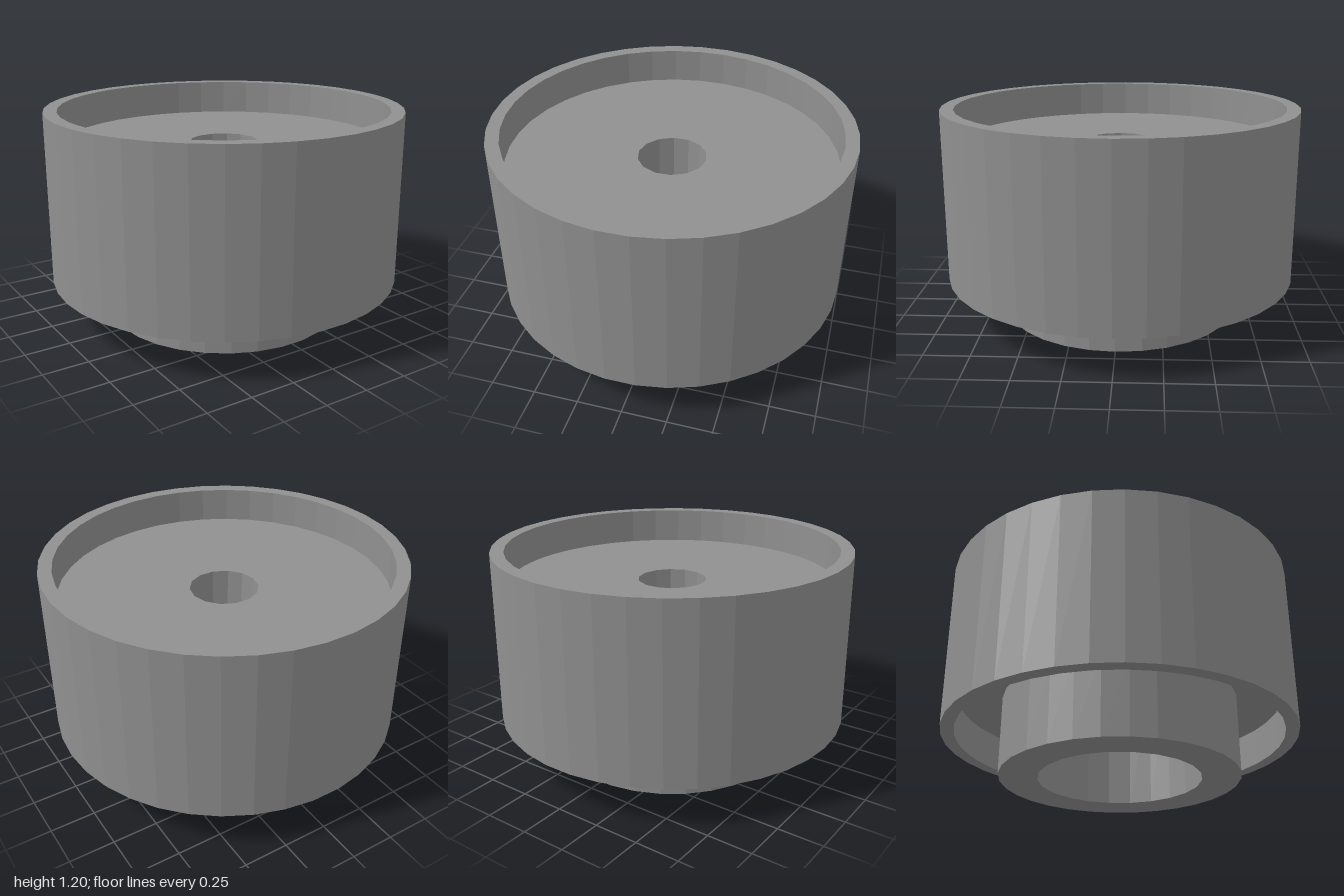
import * as THREE from 'three';

// Circles of the wheel: radius and number of sides
const OUTER = { r: 1, n: 38 };
const LIP = { r: 0.925, n: 38 };
const HUB = { r: 0.67, n: 30 };
const BORE = { r: 0.456, n: 22 };
const HOLE = { r: 0.193, n: 14 };

// Heights
const TOP = 1.2, UPPER_FLOOR = 1.0, BORE_END = 0.7, LOWER_FLOOR = 0.445, RIM_BOTTOM = 0.23;

export function createModel() {
  const model = new THREE.Group();
  model.name = 'wheel';
  const grey = new THREE.MeshStandardMaterial({ color: 0x909090, flatShading: true });
  grey.name = 'grey';

  function add(name, geometry) {
    const flat = geometry.index ? geometry.toNonIndexed() : geometry;
    flat.computeVertexNormals();
    const mesh = new THREE.Mesh(flat, grey);
    mesh.name = name;
    model.add(mesh);
  }

  // Upright faceted wall, facing outward or towards the axis
  function wall(name, { r, n }, y0, y1, inward = false) {
    const g = new THREE.CylinderGeometry(r, r, y1 - y0, n, 1, true);
    g.rotateY(Math.PI / 2);
    if (inward) g.scale(-1, 1, 1); // mirroring turns the faces inward
    g.translate(0, (y0 + y1) / 2, 0);
    add(name, g);
  }

  // Level ring between two polygons, facing up or down
  function ring(name, outer, inner, y, up) {
    const points = ({ r, n }) => Array.from({ length: n }, (_, i) => {
      const a = (i / n) * Math.PI * 2;
      return new THREE.Vector2(r * Math.cos(a), r * Math.sin(a));
    });
    const shape = new THREE.Shape(points(outer));
    shape.holes.push(new THREE.Path(points(inner).reverse()));
    const g = new THREE.ShapeGeometry(shape);
    g.rotateX(up ? -Math.PI / 2 : Math.PI / 2);
    g.translate(0, y, 0);
    add(name, g);
  }

  // Rim and upper recess
  wall('rimOuterWall', OUTER, RIM_BOTTOM, TOP);
  ring('rimTop', OUTER, LIP, TOP, true);
  wall('upperRecessWall', LIP, UPPER_FLOOR, TOP, true);
  ring('upperRecessFloor', LIP, HOLE, UPPER_FLOOR, true);

  // Axle hole opening into the wider bore
  wall('axleHoleWall', HOLE, BORE_END, UPPER_FLOOR, true);
  ring('boreEnd', BORE, HOLE, BORE_END, false);
  wall('boreWall', BORE, 0, BORE_END, true);

  // Projecting hub
  ring('hubBottom', HUB, BORE, 0, false);
  wall('hubOuterWall', HUB, 0, LOWER_FLOOR);

  // Lower recess
  ring('lowerRecessFloor', LIP, HUB, LOWER_FLOOR, false);
  wall('lowerRecessWall', LIP, RIM_BOTTOM, LOWER_FLOOR, true);
  ring('rimBottom', OUTER, LIP, RIM_BOTTOM, false);

  return model;
}
